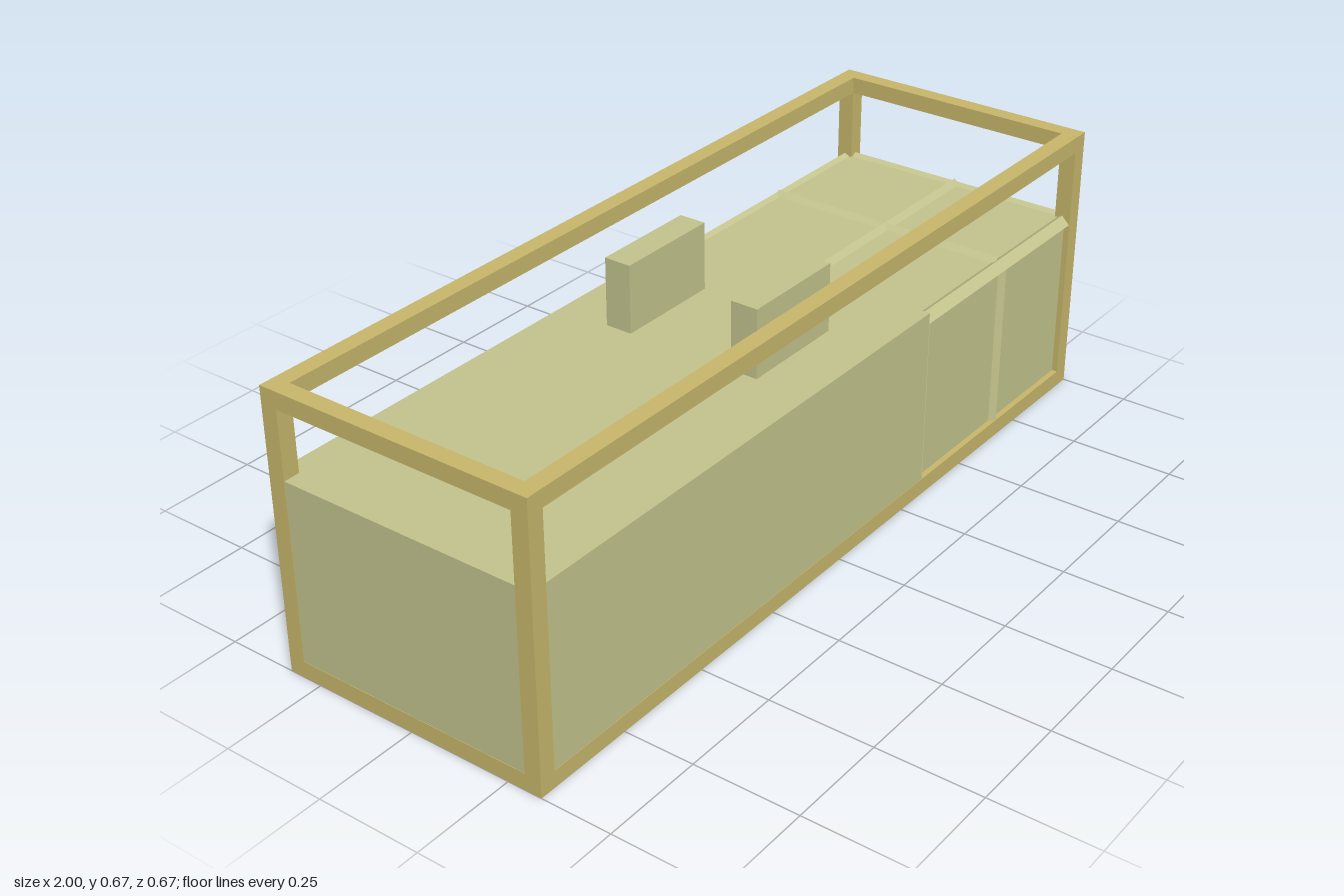
import * as THREE from 'three';

export function createModel() {
  const model = new THREE.Group();
  const gold = new THREE.MeshStandardMaterial({ color: 0xc9b86c });
  gold.name = 'gold frame';
  const olive = new THREE.MeshStandardMaterial({ color: 0xc5c58f });
  olive.name = 'pale olive';

  const add = (geometry, material, name, x = 0, y = 0, z = 0) => {
    const mesh = new THREE.Mesh(geometry, material);
    mesh.name = name;
    mesh.position.set(x, y, z);
    model.add(mesh);
    return mesh;
  };
  // Box given by its minimum and maximum corners
  const box = (name, material, a, b) => add(
    new THREE.BoxGeometry(b[0] - a[0], b[1] - a[1], b[2] - a[2]), material, name,
    (a[0] + b[0]) / 2, (a[1] + b[1]) / 2, (a[2] + b[2]) / 2);

  // Outer frame of square bars
  const W = 1, H = 0.667, D = 0.333, T = 0.04;
  for (const s of [-1, 1]) {
    for (const t of [-1, 1]) {
      const post = new THREE.BoxGeometry(T, H, T);
      add(post, gold, 'cornerPost', s * (W - T / 2), H / 2, t * (D - T / 2));
    }
    for (const y of [T / 2, H - T / 2]) {
      add(new THREE.BoxGeometry(2 * W - 2 * T, T, T), gold, 'longRail', 0, y, s * (D - T / 2));
      add(new THREE.BoxGeometry(T, T, 2 * D - 2 * T), gold, 'endRail', s * (W - T / 2), y, 0);
    }
  }

  // Solid body, and the recessed panelled section at its left end
  const e = 0.001, step = 0.333, top = 0.467;
  const panelTop = 0.453, panelBottom = 0.014, panelZ = 0.319, panelX = 0.986;
  box('body', olive, [-W + e, e, -D + e], [step, top, D - e]);
  box('panelSection', olive, [step, panelBottom, -panelZ], [panelX, panelTop, panelZ]);

  // Upright blocks on the deck
  for (const s of [-1, 1])
    add(new THREE.BoxGeometry(0.265, 0.163, 0.066), olive, 'deckBlock', 0, top + 0.0815, s * 0.167);

  // Seam ridges: square bars turned 45 degrees, half sunk into the panels
  const side = 0.0133 * Math.SQRT2;
  const ridge = (axis, length, x, y, z) => {
    const size = [side, side, side];
    size['xyz'.indexOf(axis)] = length;
    add(new THREE.BoxGeometry(...size), olive, 'seamRidge', x, y, z).rotation[axis] = Math.PI / 4;
  };
  const rimY = 0.44, midX = (step + 0.98) / 2;
  for (const x of [step + 0.002, 0.665]) {
    for (const s of [-1, 1]) ridge('y', rimY - 0.02, x, rimY / 2 + 0.01, s * panelZ);
    for (const y of [panelBottom, panelTop]) ridge('z', 2 * panelZ - 0.02, x, y, 0);
  }
  for (const y of [panelBottom, panelTop]) ridge('x', 0.98 - step, midX, y, 0);
  ridge('y', rimY - 0.02, panelX, rimY / 2 + 0.01, 0);

  // Bevelled rim along the top edges of the panelled section
  const rim = (length, out) => {
    const shape = new THREE.Shape([
      [out - 0.02, 0.427], [out, 0.427], [out + 0.013, rimY], [out - 0.007, 0.46], [out - 0.02, 0.453],
    ].map(p => new THREE.Vector2(...p)));
    return new THREE.ExtrudeGeometry(shape, { depth: length, bevelEnabled: false })
      .translate(0, 0, -length / 2);
  };
  add(rim(2 * panelZ, panelX), olive, 'endRim');
  for (const s of [-1, 1])
    add(rim(panelX - step + 0.006, panelZ), olive, 'sideRim', (step + panelX) / 2)
      .rotation.y = -s * Math.PI / 2;

  return model;
}
